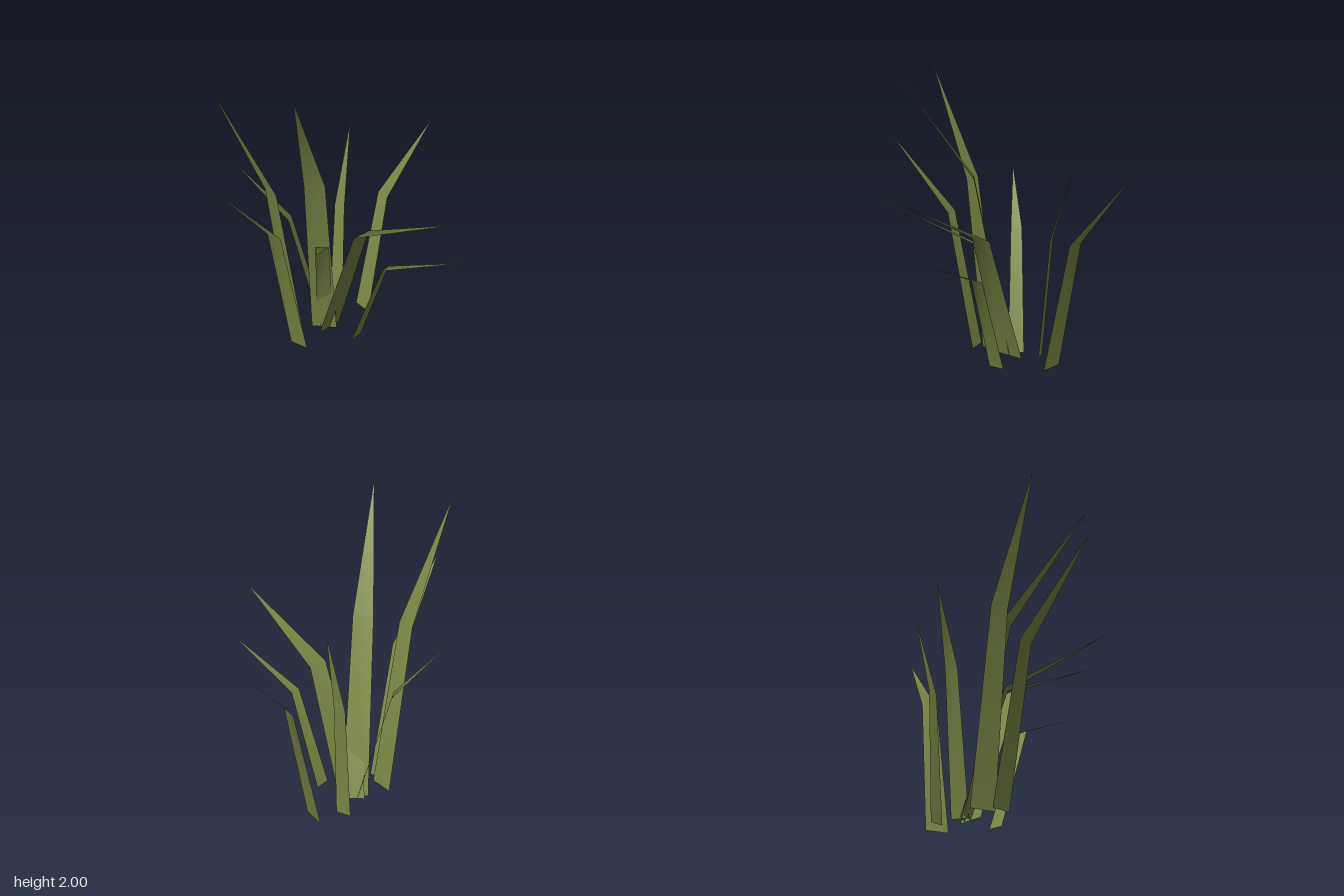
import * as THREE from 'three';

// Each blade: two base corners [x, z], knee height, two knee corners [x, z], tip [x, y, z]
const BLADES = [
  { name: 'backBlade', base: [[-0.13, -0.42], [0, -0.34]], kneeY: 0.89, knee: [[-0.02, -0.565], [0.07, -0.505]], tip: [0.265, 1.38, -0.89] },
  { name: 'smallBackBlade', base: [[-0.285, -0.277], [-0.18, -0.267]], kneeY: 0.85, knee: [[-0.263, -0.342], [-0.187, -0.336]], tip: [-0.21, 1.43, -0.51] },
  { name: 'rightBlade', base: [[-0.27, -0.148], [-0.25, -0.04]], kneeY: 0.85, knee: [[-0.475, -0.083], [-0.46, -0.005]], tip: [-0.8, 1.25, 0.06] },
  { name: 'tallRightBlade', base: [[-0.435, 0.08], [-0.29, 0.155]], kneeY: 1.2, knee: [[-0.49, 0.24], [-0.385, 0.295]], tip: [-0.605, 1.98, 0.6] },
  { name: 'frontBlade', base: [[-0.38, 0.19], [-0.245, 0.22]], kneeY: 0.97, knee: [[-0.41, 0.39], [-0.31, 0.412]], tip: [-0.465, 1.5, 0.885] },
  { name: 'tallFrontBlade', base: [[-0.32, -0.03], [-0.145, -0.075]], kneeY: 1.25, knee: [[-0.24, 0.2], [-0.11, 0.165]], tip: [-0.04, 2.0, 0.71] },
  { name: 'innerBlade', base: [[-0.305, -0.065], [-0.185, -0.11]], kneeY: 0.8, knee: [[-0.185, 0.165], [-0.105, 0.135]], tip: [0.075, 1.12, 0.73] },
  { name: 'wideLeftBlade', base: [[-0.235, 0.03], [-0.16, -0.155]], kneeY: 0.9, knee: [[0.065, 0.13], [0.12, 0]], tip: [0.76, 1.26, 0.36] },
  { name: 'lowLeftBlade', base: [[0.008, 0.03], [0.04, -0.075]], kneeY: 0.67, knee: [[0.245, 0.085], [0.265, 0.01]], tip: [0.795, 0.92, 0.195] },
];

// Tapered strip that bends once at the knee and ends in a point
function bladeGeometry({ base, kneeY, knee, tip }) {
  const points = [
    ...base.map(([x, z]) => [x, 0, z]),
    ...knee.map(([x, z]) => [x, kneeY, z]),
    tip,
  ];
  const geometry = new THREE.BufferGeometry();
  geometry.setAttribute('position', new THREE.Float32BufferAttribute(points.flat(), 3));
  geometry.setIndex([0, 1, 3, 0, 3, 2, 2, 3, 4]);
  geometry.computeVertexNormals();
  return geometry;
}

export function createModel() {
  const group = new THREE.Group();
  group.name = 'grassTuft';
  const grass = new THREE.MeshStandardMaterial({ color: 0x7d8a47, side: THREE.DoubleSide });
  grass.name = 'grassGreen';
  for (const blade of BLADES) {
    const mesh = new THREE.Mesh(bladeGeometry(blade), grass);
    mesh.name = blade.name;
    group.add(mesh);
  }
  return group;
}
